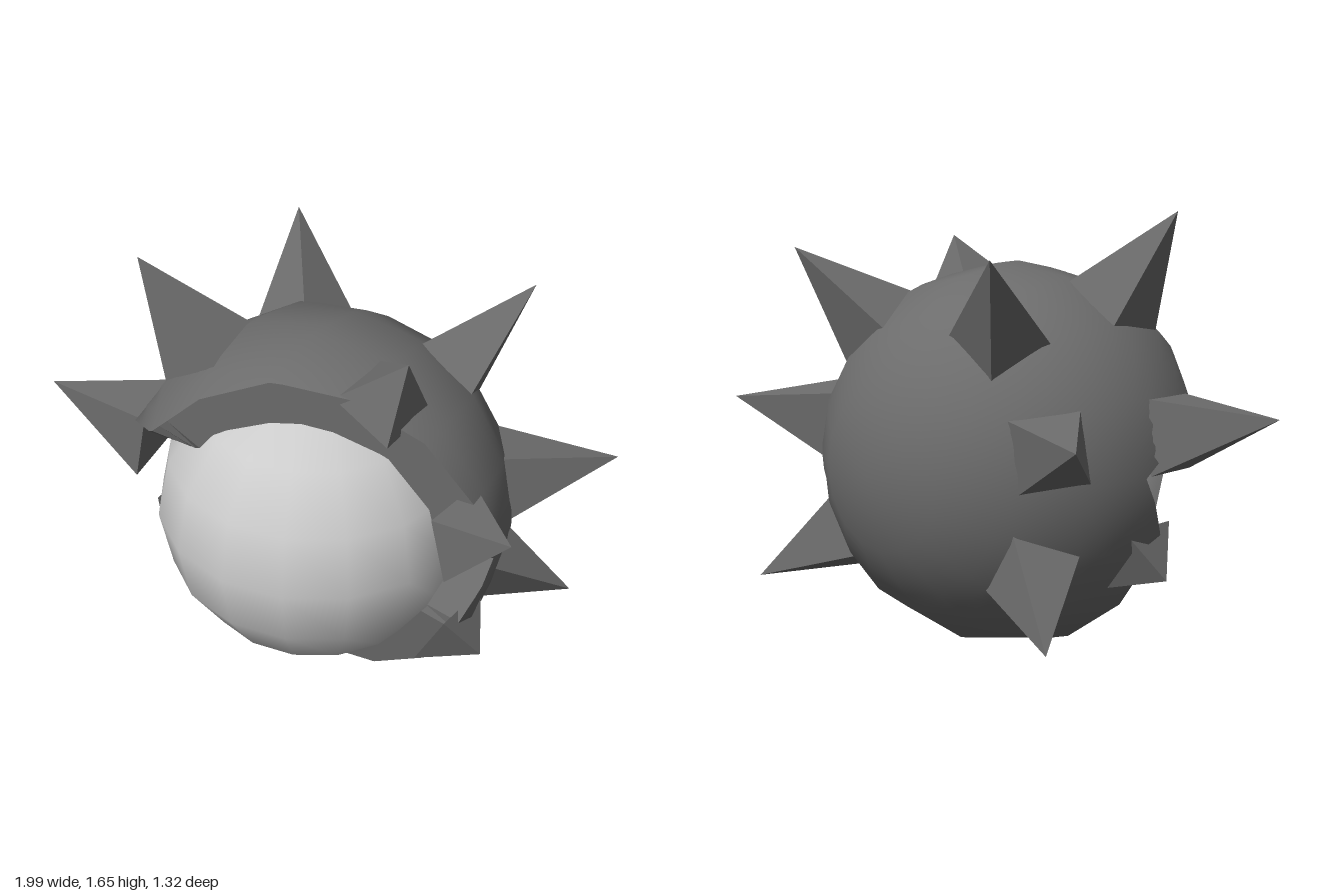
import * as THREE from 'three';

const CENTER = new THREE.Vector3(0.085, 0.73, 0.06);
const SHELL_R = 0.73, BALL_R = 0.59, COLS = 96, ROWS = 16;
const STEP = Math.PI / 8;

// radius factor that turns a circle into a 16-sided polygon
function facet(angle) {
  const d = ((angle % STEP) + STEP) % STEP;
  return Math.cos(STEP / 2) / Math.cos(d - STEP / 2);
}

// point on the faceted sphere; theta is measured from the back pole
function spherePoint(r, theta, phi) {
  const k = r * facet(theta), s = k * Math.sin(theta) * facet(phi);
  return new THREE.Vector3(s * Math.cos(phi), s * Math.sin(phi), -k * Math.cos(theta));
}

// how far forward the shell reaches: a slanted hood above, a flatter cup below
function frontLimit(x, y) {
  return y >= 0
    ? Math.min(-0.06 + 1.3 * y, 0.29 - 0.39 * x)
    : Math.min(-0.06 - 0.6 * y, 0.12 + 0.16 * y);
}

function edgeAngle(r, phi) {
  let lo = Math.PI * 0.4, hi = Math.PI * 0.95;
  for (let i = 0; i < 30; i++) {
    const mid = (lo + hi) / 2, p = spherePoint(r, mid, phi);
    if (p.z <= frontLimit(p.x, p.y)) lo = mid; else hi = mid;
  }
  return lo;
}

// strip surface over columns (around z) and rows
function gridGeometry(rows, pointAt) {
  const pos = [], index = [];
  for (let j = 0; j <= COLS; j++) {
    for (let i = 0; i <= rows; i++) pos.push(...pointAt(i, j / COLS * Math.PI * 2).toArray());
  }
  for (let j = 0; j < COLS; j++) {
    for (let i = 0; i < rows; i++) {
      const a = j * (rows + 1) + i, b = a + 1, c = a + rows + 1, d = c + 1;
      index.push(a, c, b, b, c, d);
    }
  }
  const g = new THREE.BufferGeometry();
  g.setAttribute('position', new THREE.Float32BufferAttribute(pos, 3));
  g.setIndex(index);
  return g;
}

// square pyramid standing radially on the shell, two base edges square to z
function spikeGeometry(tip, half) {
  const dir = tip.clone().normalize();
  const u = new THREE.Vector3(0, 0, 1).cross(dir).normalize();
  const v = dir.clone().cross(u);
  const corners = [[1, 1], [-1, 1], [-1, -1], [1, -1]].map(([a, b]) =>
    dir.clone().multiplyScalar(0.67).addScaledVector(u, a * half).addScaledVector(v, b * half));
  const points = [];
  corners.forEach((c, i) => points.push(c, corners[(i + 1) % 4], tip));
  points.push(corners[0], corners[2], corners[1], corners[0], corners[3], corners[2]);
  const g = new THREE.BufferGeometry().setFromPoints(points);
  g.computeVertexNormals();
  return g;
}

export function createModel() {
  const model = new THREE.Group();
  model.name = 'spikedBall';
  const body = new THREE.Group();
  body.name = 'body';
  body.position.copy(CENTER);
  model.add(body);

  const light = new THREE.MeshStandardMaterial({ color: 0xcccccc });
  const dark = new THREE.MeshStandardMaterial({ color: 0x6c6c6c, side: THREE.DoubleSide });
  const darkFlat = new THREE.MeshStandardMaterial({ color: 0x6c6c6c, side: THREE.DoubleSide, flatShading: true });
  const add = (name, geometry, material) => {
    const mesh = new THREE.Mesh(geometry, material);
    mesh.name = name;
    body.add(mesh);
  };

  // smooth inner ball
  add('innerBall', new THREE.SphereGeometry(BALL_R, 16, 8), light);

  // outer shell, shaded as a smooth sphere
  const shell = gridGeometry(ROWS, (i, phi) => spherePoint(SHELL_R, edgeAngle(SHELL_R, phi) * i / ROWS, phi));
  const p = shell.attributes.position, normals = [], n = new THREE.Vector3();
  for (let i = 0; i < p.count; i++) normals.push(...n.fromBufferAttribute(p, i).normalize().toArray());
  shell.setAttribute('normal', new THREE.Float32BufferAttribute(normals, 3));
  add('outerShell', shell, dark);

  // thick rim from the shell down to the ball
  const rim = gridGeometry(1, (i, phi) => {
    const r = i ? BALL_R - 0.015 : SHELL_R;
    return spherePoint(r, edgeAngle(r, phi), phi);
  }).toNonIndexed();
  rim.computeVertexNormals();
  add('shellRim', rim, darkFlat);

  // back spikes, mirrored left and right
  for (const side of [1, -1]) {
    for (const [x, y, z] of [[0.515, 0.78, -0.625], [0.905, 0.185, -0.625], [0.775, -0.51, -0.625]]) {
      add('backSpike', spikeGeometry(new THREE.Vector3(side * x, y, z), 0.135), darkFlat);
    }
    // short stubs low on the front rim
    add('rimStub', spikeGeometry(new THREE.Vector3(side * 0.74, -0.38, 0.03), 0.125), darkFlat);
  }

  // hood spikes, long on the right and sunk on the left
  const hood = [[-0.615, 0.92, 0.215], [-1.085, 0.22, 0.21], [0.435, 0.8, 0.105], [0.86, 0.22, 0.095]];
  hood.forEach(([x, y, z], i) =>
    add('hoodSpike', spikeGeometry(new THREE.Vector3(x, y, z), i < 2 ? 0.14 : 0.125), darkFlat));

  return model;
}
